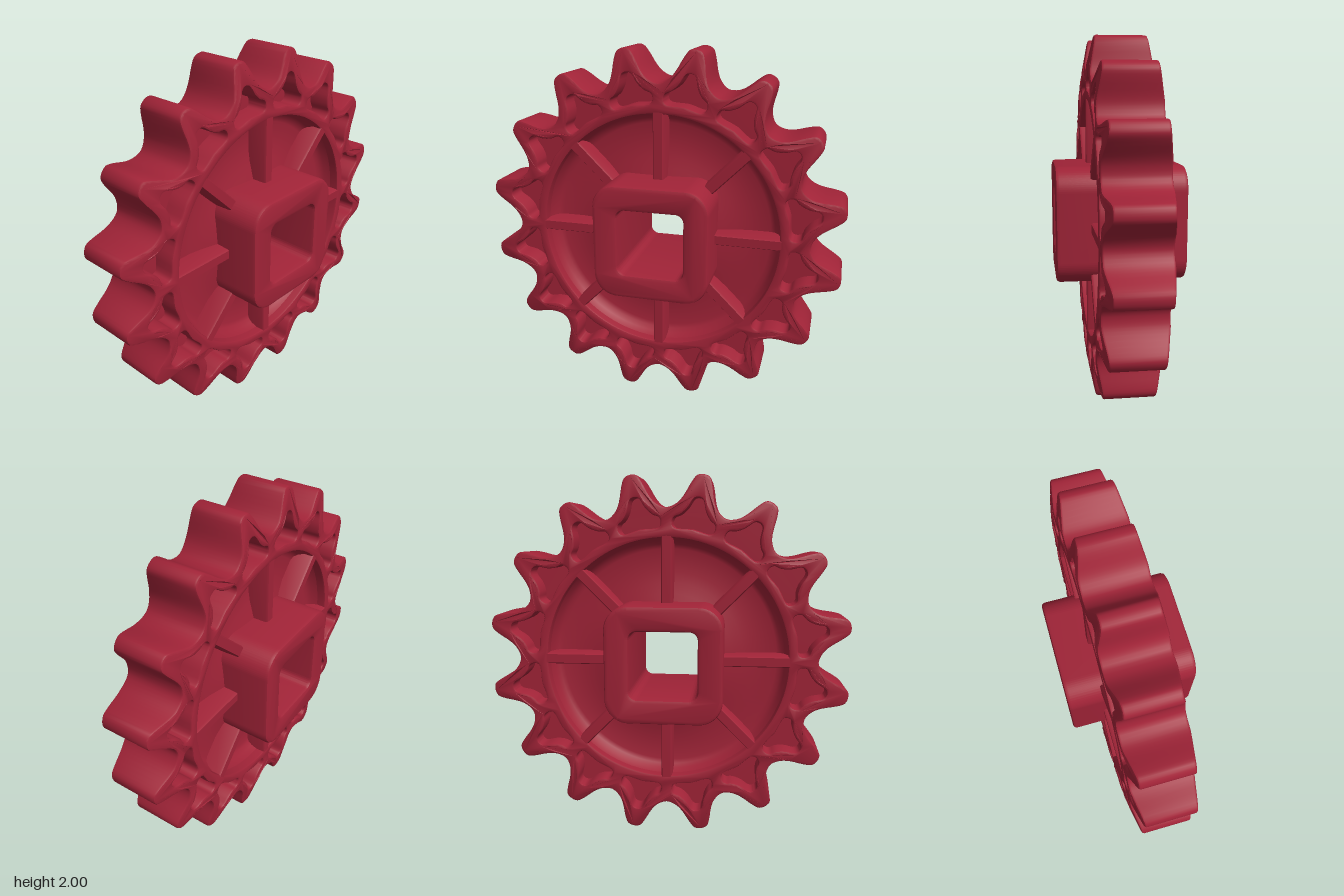
import * as THREE from 'three';
import { toCreasedNormals } from 'three/addons/utils/BufferGeometryUtils.js';

const TEETH = 16, STEP = (Math.PI * 2) / TEETH, HALF = 0.17;

const red = new THREE.MeshStandardMaterial({ color: 0xa02337 });
red.name = 'crimson plastic';

// Point beside a ray at angle a: r along the ray, u across it
const polar = (a, u, r) => new THREE.Vector3(
  Math.cos(a) * r - Math.sin(a) * u, Math.sin(a) * r + Math.cos(a) * u, 0);

// Half profile [across, radius] mirrored, ordered counter-clockwise
const mirror = (half) => [
  ...half.map(([u, r]) => [-u, r]).reverse(),
  ...half.filter(([u]) => u > 0),
];

const smoothLoop = (points, samples) =>
  new THREE.CatmullRomCurve3(points, true, 'centripetal').getPoints(samples)
    .slice(0, -1).map((p) => new THREE.Vector2(p.x, p.y));

function gearOutline(scale) {
  const tooth = mirror([[0, 1.02], [0.035, 1.01], [0.057, 0.97], [0.085, 0.89], [0.112, 0.846]]);
  const points = [];
  for (let i = 0; i < TEETH; i++) {
    const a = (i + 0.5) * STEP;
    points.push(polar(a - STEP / 2, 0, 0.83));
    tooth.forEach(([u, r]) => points.push(polar(a, u, r)));
  }
  return smoothLoop(points.map((p) => p.multiplyScalar(scale)), TEETH * 30);
}

// Solid centred on z = 0 with a small chamfer kept inside the outline
function extrude(shape, depth, bevel) {
  const geometry = new THREE.ExtrudeGeometry(shape, {
    depth: depth - 2 * bevel, curveSegments: 48, bevelEnabled: bevel > 0,
    bevelThickness: bevel, bevelSize: bevel, bevelOffset: -bevel, bevelSegments: 2,
  });
  return geometry.translate(0, 0, bevel - depth / 2);
}

function roundedSquare(path, h, r) {
  const c = h - r;
  path.moveTo(h, -c);
  path.absarc(c, c, r, 0, Math.PI / 2);
  path.absarc(-c, c, r, Math.PI / 2, Math.PI);
  path.absarc(-c, -c, r, Math.PI, Math.PI * 1.5);
  path.absarc(c, -c, r, Math.PI * 1.5, Math.PI * 2);
  return path;
}

const circle = (r) => new THREE.Path().absarc(0, 0, r, 0, Math.PI * 2);

export function createModel() {
  const group = new THREE.Group();
  const add = (name, geometry, crease = 0.6) => {
    const mesh = new THREE.Mesh(toCreasedNormals(geometry, crease), red);
    mesh.name = name;
    mesh.position.y = 1;
    group.add(mesh);
    return mesh;
  };

  // Toothed rim with a recess in every tooth
  const rim = new THREE.Shape(gearOutline(1));
  rim.holes.push(circle(0.67));
  const pocket = mirror([[0, 0.897], [0.024, 0.888], [0.05, 0.83], [0.082, 0.79],
    [0.112, 0.77], [0.116, 0.74], [0.1, 0.718], [0, 0.726]]);
  // The mirrored list doubles back at the base, so walk the right half down and the left half up
  const count = pocket.length / 2;
  const right = pocket.slice(-(6 + 1)).filter(([u]) => u > 0);
  const loop = [[0, 0.726], ...right.slice().reverse(), [0, 0.897],
    ...right.map(([u, r]) => [-u, r])];
  for (let i = 0; i < TEETH && count; i++) {
    const a = (i + 0.5) * STEP;
    rim.holes.push(new THREE.Path(smoothLoop(loop.map(([u, r]) => polar(a, u, r)), 48)));
  }
  const rimGeometry = extrude(rim, HALF * 2, 0.012);

  // Tooth faces slope inwards towards the tips
  const pos = rimGeometry.attributes.position;
  for (let i = 0; i < pos.count; i++) {
    const r = Math.hypot(pos.getX(i), pos.getY(i));
    pos.setZ(i, pos.getZ(i) * (1 - Math.max(0, r - 0.86) * 1.15));
  }
  add('toothed rim', rimGeometry);

  // Floor of the tooth recesses, hidden inside the rim walls
  const floor = new THREE.Shape(gearOutline(0.97));
  floor.holes.push(circle(0.69));
  add('tooth recess floor', extrude(floor, 0.1, 0));

  // Web disc, thickening at hub and rim
  const side = [[0.28, 0.095], [0.36, 0.075], [0.42, 0.06], [0.49, 0.05], [0.61, 0.05],
    [0.635, 0.058], [0.655, 0.08], [0.672, 0.12], [0.68, 0.12]];
  const profile = [...side.map(([r, z]) => new THREE.Vector2(r, -z)),
    ...side.reverse().map(([r, z]) => new THREE.Vector2(r, z))];
  add('web disc', new THREE.LatheGeometry(profile, 96).rotateX(Math.PI / 2), 0.7);

  // Eight drafted spokes running from hub to rim on both faces
  const section = new THREE.Shape([[-0.024, -0.169], [0.024, -0.169], [0.03, -0.158],
    [0.035, 0], [0.03, 0.158], [0.024, 0.169], [-0.024, 0.169], [-0.03, 0.158],
    [-0.035, 0], [-0.03, -0.158]].map(([x, y]) => new THREE.Vector2(x, y)));
  for (let i = 0; i < 8; i++) {
    const spoke = new THREE.ExtrudeGeometry(section, { depth: 0.42, bevelEnabled: false });
    spoke.translate(0, 0, 0.28).rotateX(-Math.PI / 2).rotateZ((i * Math.PI) / 4);
    add('spoke', spoke);
  }

  // Square hub with a square bore
  const hub = roundedSquare(new THREE.Shape(), 0.318, 0.13);
  hub.holes.push(roundedSquare(new THREE.Path(), 0.183, 0.045));
  add('square hub', extrude(hub, 0.71, 0.02));

  return group;
}
